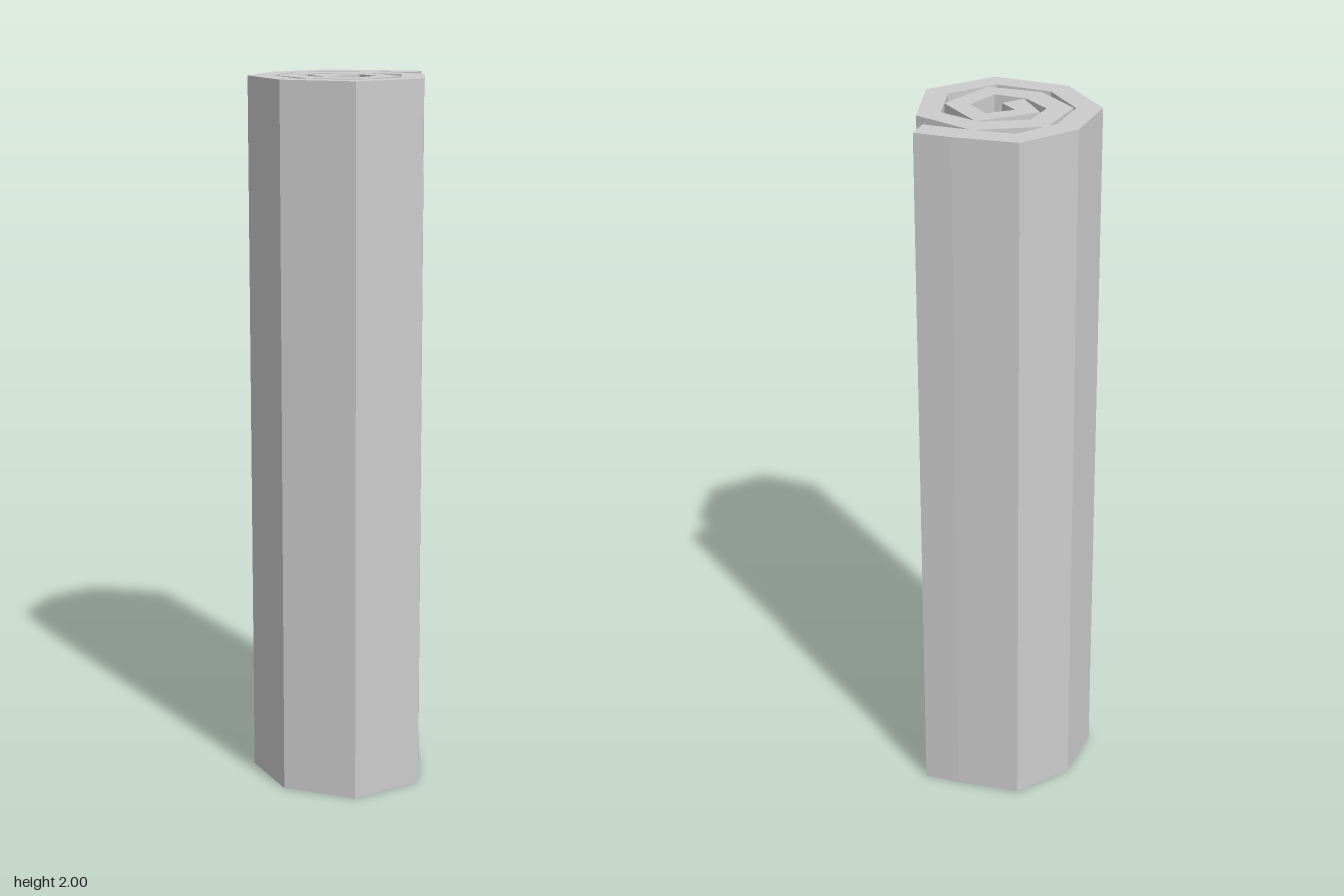
import * as THREE from 'three';

const HEIGHT = 2;

// Corners of the rolled sheet as [x, z], from the loose outer end to the core.
const OUTER = [
  [0.257, -0.16], [0.165, -0.209], [0.002, -0.279], [-0.164, -0.198], [-0.259, -0.037],
  [-0.204, 0.165], [-0.02, 0.277], [0.181, 0.193], [0.233, -0.024], [0.107, -0.162],
  [-0.089, -0.165], [-0.183, -0.024], [-0.123, 0.122], [0.013, 0.19], [0.148, 0.066],
  [0.087, -0.094], [-0.09, -0.048], [-0.067, 0.071],
];
const INNER = [
  [0.225, -0.098], [0.135, -0.146], [0.002, -0.209], [-0.118, -0.147], [-0.189, -0.028],
  [-0.148, 0.122], [-0.013, 0.207], [0.127, 0.147], [0.166, -0.007], [0.079, -0.098],
  [-0.056, -0.102], [-0.112, -0.018], [-0.071, 0.075], [0.005, 0.121], [0.081, 0.047],
  [0.052, -0.034], [-0.028, -0.016], [-0.003, 0.045],
];

function rolledSheetGeometry() {
  const positions = [];
  const at = ([x, z], y) => [x, y, z];
  const quad = (a, b, c, d) => positions.push(...a, ...b, ...c, ...a, ...c, ...d);
  const wall = (p, q) => quad(at(p, 0), at(q, 0), at(q, HEIGHT), at(p, HEIGHT));
  const last = OUTER.length - 1;

  for (let i = 0; i < last; i++) {
    const [o0, o1, i0, i1] = [OUTER[i], OUTER[i + 1], INNER[i], INNER[i + 1]];
    wall(o0, o1); // outside of the roll
    wall(i1, i0); // inside of the roll
    quad(at(o0, HEIGHT), at(o1, HEIGHT), at(i1, HEIGHT), at(i0, HEIGHT)); // top edge
    quad(at(i0, 0), at(i1, 0), at(o1, 0), at(o0, 0)); // bottom edge
  }
  wall(INNER[0], OUTER[0]); // loose end
  wall(OUTER[last], INNER[last]); // core end

  const geometry = new THREE.BufferGeometry();
  geometry.setAttribute('position', new THREE.Float32BufferAttribute(positions, 3));
  geometry.computeVertexNormals();
  return geometry;
}

export function createModel() {
  const lightGrey = new THREE.MeshStandardMaterial({ color: 0xcccccc });
  lightGrey.name = 'lightGrey';

  const rolledSheet = new THREE.Mesh(rolledSheetGeometry(), lightGrey);
  rolledSheet.name = 'rolledSheet';

  const group = new THREE.Group();
  group.name = 'roll';
  group.add(rolledSheet);
  return group;
}
